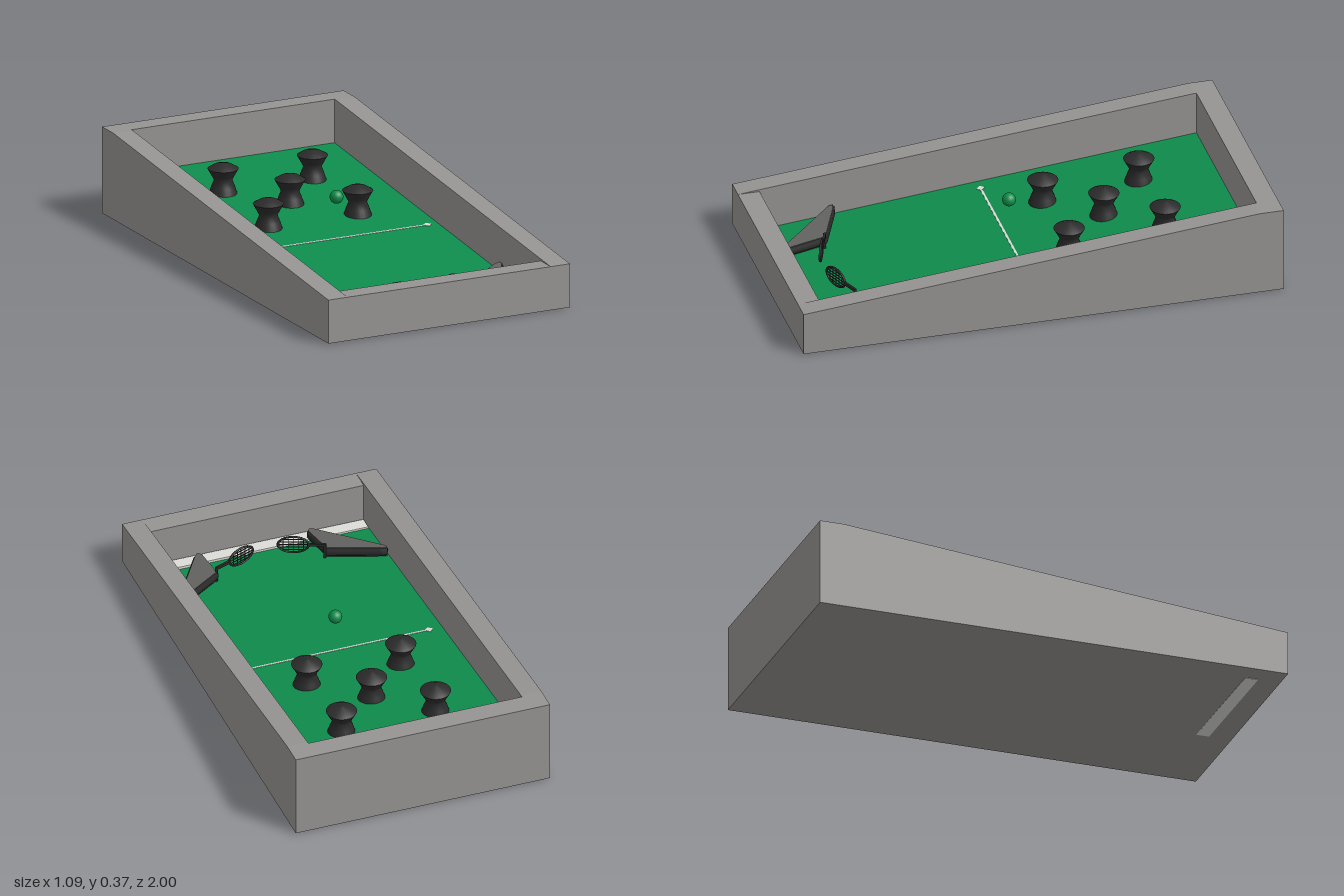
import * as THREE from 'three';

const mat = (name, color) => {
  const m = new THREE.MeshStandardMaterial({ color });
  m.name = name;
  return m;
};

export function createModel() {
  const root = new THREE.Group();
  root.name = 'pinballTable';
  const grey = mat('cabinetGrey', 0x969492);
  const green = mat('tableGreen', 0x0e8c4c);
  const black = mat('rubberBlack', 0x2b2b2b);
  const steel = mat('slingshotGrey', 0x636361);
  const white = mat('paleTrim', 0xdcdcd8);

  const add = (name, geo, material, parent = root) => {
    const mesh = new THREE.Mesh(geo, material);
    mesh.name = name;
    parent.add(mesh);
    return mesh;
  };
  // Extrude a (z, y) side profile between two x positions
  const slab = (pts, x0, x1) => {
    const shape = new THREE.Shape(pts.map(([z, y]) => new THREE.Vector2(-z, y)));
    return new THREE.ExtrudeGeometry(shape, { depth: x1 - x0, bevelEnabled: false })
      .rotateY(Math.PI / 2).translate(x0, 0, 0);
  };
  const box = (w, h, d, x, y, z) => new THREE.BoxGeometry(w, h, d).translate(x, y, z);
  const floorY = z => 0.093 - 0.0956 * z;
  const slope = Math.atan(0.0956);

  // Cabinet: sloping side walls, front and back walls, wedge base
  const W = 0.545, IN = 0.458, E = 0.91;
  const side = [[1, 0], [1, 0.183], [-0.9, 0.363], [-1, 0.363], [-1, 0]];
  add('leftWall', slab(side, IN, W), grey);
  add('rightWall', slab(side, -W, -IN), grey);
  add('frontWall', box(2 * IN, 0.183, 0.09, 0, 0.0915, 0.955), grey);
  add('backWall', box(2 * IN, 0.363, 0.09, 0, 0.1815, -0.955), grey);
  add('base', slab([[E, 0], [E, floorY(E) - 0.004], [-E, floorY(-E) - 0.004], [-E, 0]], -IN, IN), grey);
  add('playfield', slab([[E, floorY(E) - 0.004], [E, floorY(E)], [-E, floorY(-E)], [-E, floorY(-E) - 0.004]], -IN, IN), green);

  // Drain strip inside the front wall, very slightly tilted
  const strip = add('drainStrip', box(0.91, 0.022, 0.055, 0, 0.011, 0.877), white);
  strip.rotation.z = 0.004;
  strip.position.y = -0.0005;

  // Thin centre line with pointed ends, flush with the playfield
  const line = new THREE.Group();
  line.name = 'centreLine';
  line.position.set(0.005, floorY(0), 0.005);
  line.rotation.x = slope;
  root.add(line);
  add('lineBar', box(0.8, 0.002, 0.009, 0, 0, 0), white, line);
  for (const s of [-1, 1]) {
    const tip = add('linePoint', new THREE.CylinderGeometry(0.018, 0.018, 0.003, 4), white, line);
    tip.position.x = s * 0.405;
  }

  // Ball
  add('ball', new THREE.SphereGeometry(0.028, 24, 16), green).position.set(0.004, 0.265, -0.003);

  // Hourglass bumpers with shallow conical caps
  const body = new THREE.LatheGeometry(
    [[0.058, -0.006], [0.048, 0.025], [0.037, 0.052], [0.046, 0.07], [0.063, 0.1]].map(p => new THREE.Vector2(...p)), 24);
  const cap = new THREE.LatheGeometry([new THREE.Vector2(0.063, 0.1), new THREE.Vector2(0.035, 0.116), new THREE.Vector2(0, 0.125)], 24);
  for (const [x, z] of [[-0.203, -0.6], [0.2, -0.6], [-0.003, -0.4], [-0.203, -0.2], [0.2, -0.2]]) {
    const bumper = new THREE.Group();
    bumper.name = 'bumper';
    bumper.position.set(x, floorY(z), z);
    root.add(bumper);
    add('bumperBody', body, black, bumper);
    add('bumperCap', cap, black, bumper);
  }

  // Slingshot: grey plate wrapped by a dark rubber band
  const slingshot = (name, pts) => {
    const g = new THREE.Group();
    g.name = name;
    g.position.y = floorY(0);
    g.rotation.x = slope;
    root.add(g);
    const shape = new THREE.Shape(pts.map(([x, z]) => new THREE.Vector2(x, -z)));
    const plate = new THREE.ExtrudeGeometry(shape, { depth: 0.04, bevelEnabled: false })
      .rotateX(-Math.PI / 2).translate(0, 0.008, 0);
    add('slingshotPlate', plate, steel, g);
    const path = new THREE.CurvePath();
    const v = pts.map(([x, z]) => new THREE.Vector3(x, 0.028, z));
    v.forEach((p, i) => path.add(new THREE.LineCurve3(p, v[(i + 1) % v.length])));
    const band = new THREE.TubeGeometry(path, 80, 0.008, 6, true);
    band.translate(0, -0.028, 0).scale(1, 2.2, 1).translate(0, 0.028, 0);
    add('slingshotBand', band, black, g);
  };
  slingshot('rightSlingshot', [[-0.447, 0.608], [-0.425, 0.612], [-0.222, 0.7], [-0.2, 0.855], [-0.208, 0.87], [-0.225, 0.865], [-0.445, 0.625]]);
  slingshot('leftSlingshot', [[0.447, 0.565], [0.425, 0.575], [0.25, 0.7], [0.257, 0.855], [0.27, 0.87], [0.285, 0.855], [0.449, 0.585]]);

  // Flippers: upright oval wire frames with a lattice and a short handle
  const flipper = (name, x0, x1) => {
    const g = new THREE.Group();
    g.name = name;
    const z0 = 0.705, z1 = 0.775, dx = x1 - x0, dz = z1 - z0;
    const len = Math.hypot(dx, dz), a = 0.062, b = 0.038, cx = len - a - 0.004;
    g.position.set(x0, 0.088, z0);
    g.rotation.y = Math.atan2(-dz, dx);
    root.add(g);
    const rim = new THREE.TorusGeometry(1, 0.09, 6, 32).scale(a, b, 0.055).translate(cx, 0, 0);
    add('flipperRim', rim, black, g);
    for (const u of [-0.66, -0.33, 0, 0.33, 0.66]) {
      const k = Math.sqrt(1 - u * u);
      add('flipperString', box(0.003, 2 * b * k, 0.003, cx + u * a, 0, 0), black, g);
      add('flipperString', box(2 * a * k, 0.003, 0.003, cx, u * b, 0), black, g);
    }
    const handle = cx - a;
    add('flipperHandle', box(handle, 0.012, 0.01, handle / 2, 0, 0), black, g);
    // Pivot post joining the handle to the slingshot
    const post = add('flipperPost', new THREE.CylinderGeometry(0.006, 0.006, 0.07, 8), black, g);
    post.position.y = -0.03;
  };
  flipper('rightFlipper', -0.215, -0.035);
  flipper('leftFlipper', 0.25, 0.065);

  return root;
}
